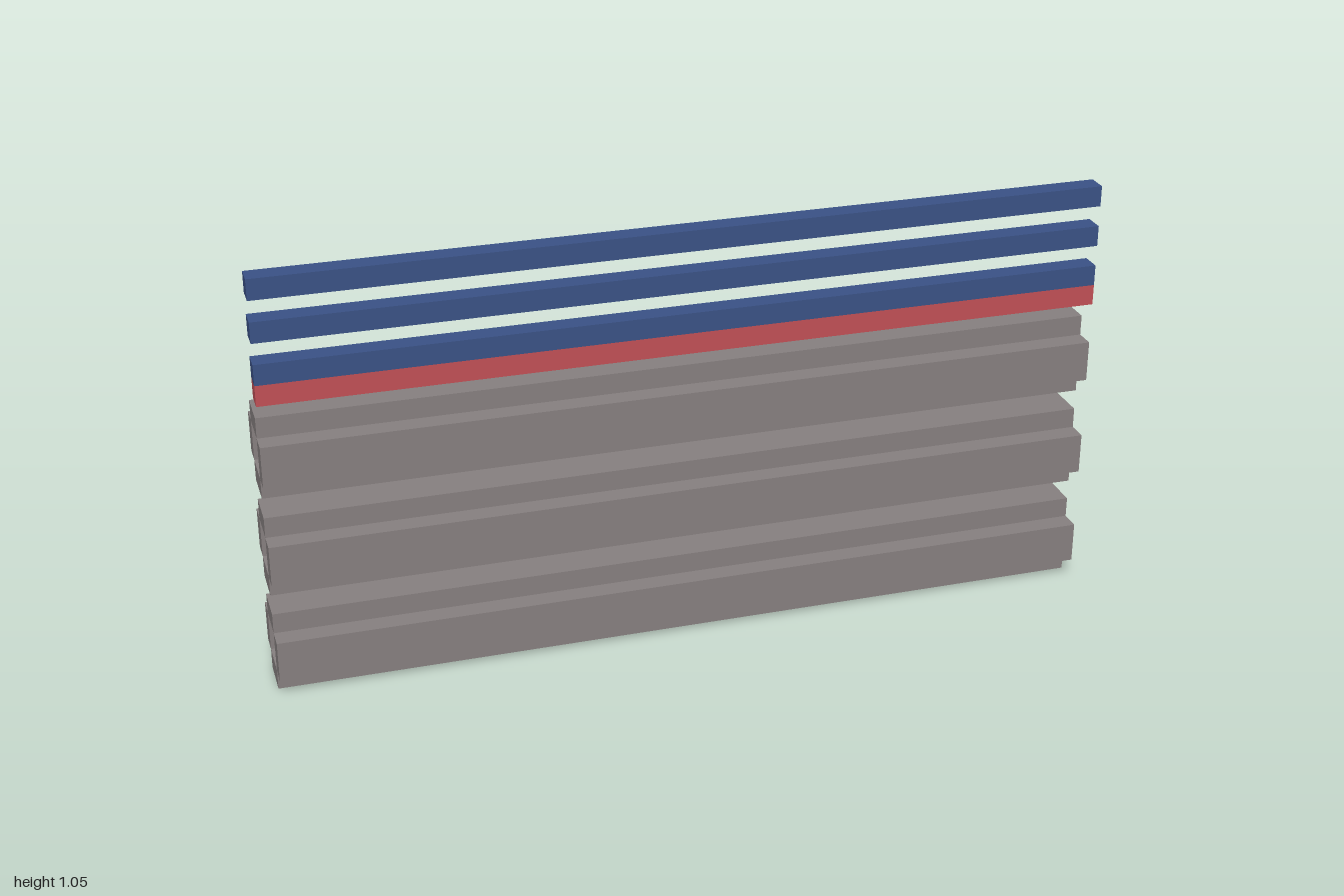
import * as THREE from 'three';

const mat = (name, color, side = THREE.FrontSide) => {
  const m = new THREE.MeshStandardMaterial({ color, side });
  m.name = name;
  return m;
};

export function createModel() {
  const grey = mat('warm grey', 0x878080);
  const blue = mat('blue', 0x3a5286);
  const red = mat('red', 0xc15056);
  const dark = mat('dark brown', 0x3c3331, THREE.DoubleSide);

  const model = new THREE.Group();
  model.name = 'stackedRails';

  // full-length bar
  const bar = (parent, name, material, h, d, y, z) => {
    const mesh = new THREE.Mesh(new THREE.BoxGeometry(2, h, d), material);
    mesh.name = name;
    mesh.position.set(0, y, z);
    parent.add(mesh);
  };

  // painted mark on the back bar: [topMin, topMax, bottomMin, bottomMax] in x
  const lift = 0.001, wrap = 0.043;
  const addMark = (parent, [a, b, c, d], y) => {
    const mark = new THREE.Group();
    mark.name = 'gripMark';
    const pts = [[a, 0.05], [b, 0.05], [b, 0.012], [d, -0.026], [d, -0.05], [c, -0.05], [c, -0.026], [a, 0.012]];
    const face = new THREE.Mesh(
      new THREE.ShapeGeometry(new THREE.Shape(pts.map(([px, py]) => new THREE.Vector2(px, py)))), dark);
    face.name = 'markFace';
    face.position.set(0, y, -0.1 - lift);
    mark.add(face);
    // ends folded over the upper and lower edges
    for (const [name, x0, x1, s] of [['markTop', a, b, 1], ['markBottom', c, d, -1]]) {
      const cap = new THREE.Mesh(new THREE.PlaneGeometry(x1 - x0, wrap), dark);
      cap.name = name;
      cap.rotation.x = -s * Math.PI / 2;
      cap.position.set((x0 + x1) / 2, y + s * (0.05 + lift), -0.1 + wrap / 2);
      mark.add(cap);
    }
    parent.add(mark);
  };

  // three hollow rails, each of four bars, with their marks
  const rails = [
    { y: 0.10, marks: [[-0.395, -0.35, -0.445, -0.40], [-0.60, -0.50, -0.59, -0.54], [-0.80, -0.70, -0.80, -0.705]] },
    { y: 0.35, marks: [[0.90, 0.945, 0.90, 0.95], [0.80, 0.845, 0.80, 0.85], [0.70, 0.745, 0.655, 0.705]] },
    { y: 0.60, marks: [[0.60, 0.643, 0.555, 0.605], [0.447, 0.49, 0.45, 0.495], [0.297, 0.342, 0.35, 0.40]] },
  ];
  for (const { y, marks } of rails) {
    const rail = new THREE.Group();
    rail.name = 'hollowRail';
    bar(rail, 'topBar', grey, 0.05, 0.1, y + 0.075, 0);
    bar(rail, 'bottomBar', grey, 0.05, 0.1, y - 0.075, 0);
    bar(rail, 'frontBar', grey, 0.1, 0.05, y, 0.075);
    bar(rail, 'backBar', grey, 0.1, 0.05, y, -0.075);
    marks.forEach((m) => addMark(rail, m, y));
    model.add(rail);
  }

  // coloured strips above the rails
  bar(model, 'redStrip', red, 0.05, 0.05, 0.775, 0.075);
  for (const y of [0.825, 0.925, 1.025]) bar(model, 'blueStrip', blue, 0.05, 0.05, y, 0.075);

  return model;
}
